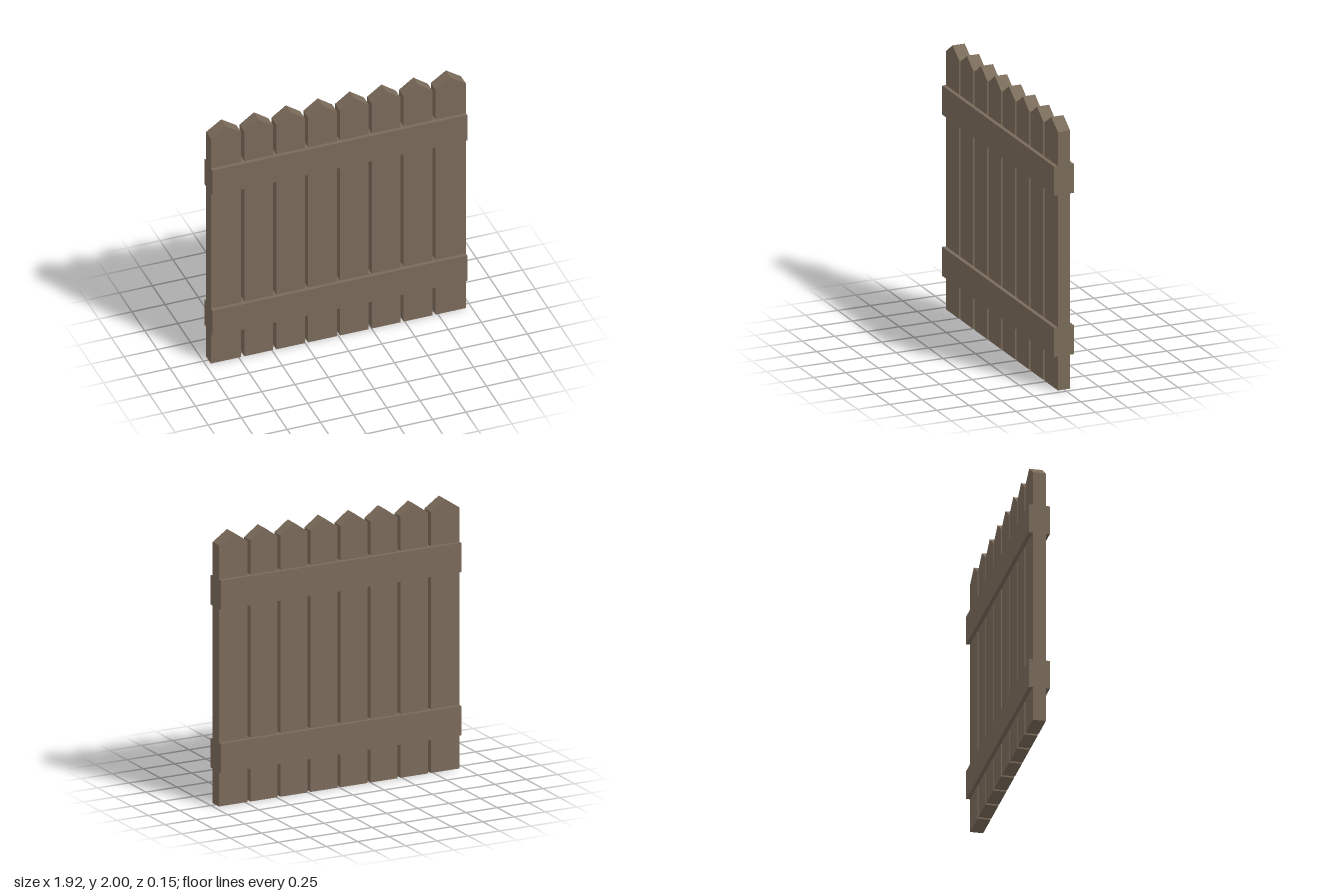
import * as THREE from 'three';

const wood = new THREE.MeshStandardMaterial({ color: 0x7a6b5a, flatShading: true });

// Flat board with a pointed top
function makePicket(width, depth, shoulder, peak) {
  const w = width / 2;
  const shape = new THREE.Shape([
    new THREE.Vector2(-w, 0),
    new THREE.Vector2(w, 0),
    new THREE.Vector2(w, shoulder),
    new THREE.Vector2(0, peak),
    new THREE.Vector2(-w, shoulder),
  ]);
  const geometry = new THREE.ExtrudeGeometry(shape, { depth, bevelEnabled: false });
  geometry.translate(0, 0, -depth / 2);
  return new THREE.Mesh(geometry, wood);
}

export function createModel() {
  const fence = new THREE.Group();
  fence.name = 'fence';

  // Pickets, mirrored about the centre; the outermost are slightly wider
  const pickets = [[0.12, 0.216], [0.36, 0.216], [0.6, 0.216], [0.846, 0.228]];
  for (const side of [-1, 1]) {
    for (const [x, width] of pickets) {
      const picket = makePicket(width, 0.094, 1.922, 2);
      picket.name = 'picket';
      picket.position.x = side * x;
      fence.add(picket);
    }
  }

  // Cross rails running through the pickets and standing proud on both faces
  for (const [name, y] of [['lowerRail', 0.361], ['upperRail', 1.561]]) {
    const rail = new THREE.Mesh(new THREE.BoxGeometry(1.92, 0.216, 0.152), wood);
    rail.name = name;
    rail.position.y = y;
    fence.add(rail);
  }

  return fence;
}
